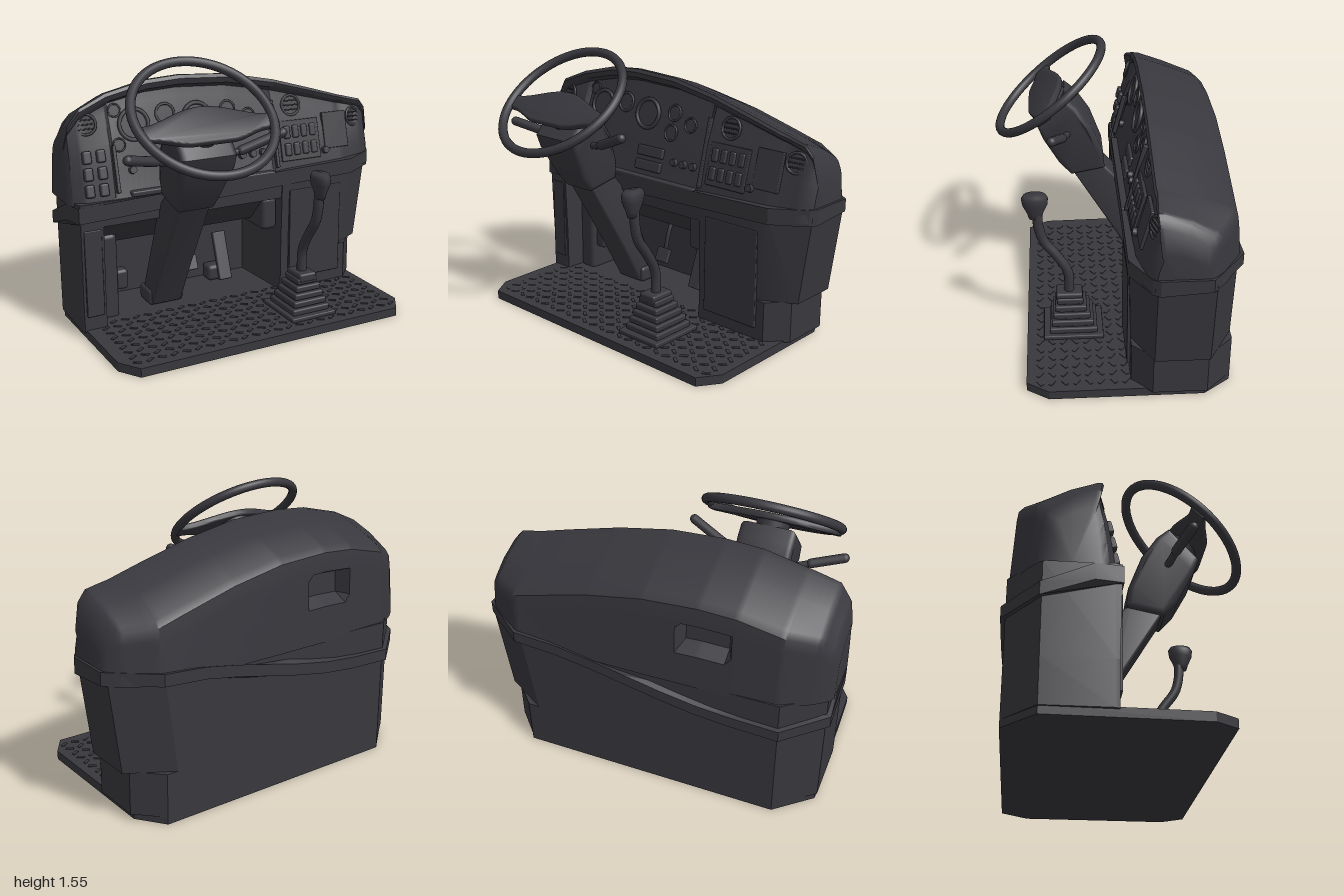
import * as THREE from 'three';
import { mergeGeometries, toCreasedNormals } from 'three/addons/utils/BufferGeometryUtils.js';
import { RoundedBoxGeometry } from 'three/addons/geometries/RoundedBoxGeometry.js';

export function createModel() {
  const root = new THREE.Group();
  root.name = 'driverConsole';
  const plastic = new THREE.MeshStandardMaterial({ color: 0x37373d });
  plastic.name = 'charcoalPlastic';

  const add = (name, geo, parent = root) => {
    const m = new THREE.Mesh(geo, plastic);
    m.name = name;
    parent.add(m);
    return m;
  };
  const box = (name, w, h, d, x, y, z, parent) => {
    const m = add(name, new RoundedBoxGeometry(w, h, d, 2, Math.min(w, h, d) * 0.25), parent);
    m.position.set(x, y, z);
    return m;
  };
  const shapeOf = pts => new THREE.Shape(pts.map(p => new THREE.Vector2(p[0], p[1])));
  const bend = (g, rule) => {
    const p = g.attributes.position, v = new THREE.Vector3();
    for (let i = 0; i < p.count; i++) {
      rule(v.fromBufferAttribute(p, i));
      p.setXYZ(i, v.x, v.y, v.z);
    }
    g.computeVertexNormals();
  };
  // outline in (x, z) raised from y0 to y1, with an optional rule for each vertex
  const plan = (name, pts, y0, y1, rule) => {
    const g = new THREE.ExtrudeGeometry(shapeOf(pts.map(p => [p[0], -p[1]])), { depth: y1 - y0, bevelEnabled: false });
    g.rotateX(-Math.PI / 2).translate(0, y0, 0);
    if (rule) bend(g, rule);
    return add(name, toCreasedNormals(g, 0.5));
  };
  // side outline in (z, y) widened along x
  const side = (name, pts, cx, w, bevel = 0, rule) => {
    const g = new THREE.ExtrudeGeometry(shapeOf(pts), { depth: w - 2 * bevel, bevelEnabled: bevel > 0, bevelSize: bevel, bevelThickness: bevel, bevelOffset: -bevel, bevelSegments: 3 });
    g.translate(0, 0, bevel - w / 2).rotateY(-Math.PI / 2);
    if (rule) bend(g, rule);
    g.translate(cx, 0, 0);
    return add(name, toCreasedNormals(g, 0.7));
  };
  const tube = (name, pts, r) =>
    add(name, new THREE.TubeGeometry(new THREE.CatmullRomCurve3(pts.map(p => new THREE.Vector3(...p))), 24, r, 12));

  // ---- floor plate with shallow tread
  plan('floorPlate', [[-0.93, 0.36], [-0.85, 0.48], [0.76, 0.48], [0.84, 0.36], [0.84, -0.47], [0.73, -0.62], [-0.75, -0.62], [-0.95, -0.45]], 0, 0.05);
  const treads = [];
  for (let i = 0; i < 24; i++) for (let j = 0; j < 9; j++) {
    const g = new THREE.BoxGeometry(0.045, 0.006, 0.018);
    treads.push(g.rotateY((i + j) % 2 ? 0.6 : -0.6).translate(-0.84 + i * 0.07, 0.051, -0.12 + j * 0.066));
  }
  add('floorTread', mergeGeometries(treads));

  // ---- lower body: U-shaped plan around the footwell, tapering on the left
  const lowerPlan = xr => [[-0.95, -0.08], [-0.82, -0.08], [-0.8, -0.52], [0.27, -0.52], [0.3, -0.08], [0.76, -0.08],
    [xr, -0.19], [xr, -0.48], [0.73, -0.62], [-0.75, -0.62], [-0.96, -0.45], [-0.96, -0.1]];
  plan('lowerBodyBase', lowerPlan(0.865), 0.04, 0.28);
  plan('lowerBody', lowerPlan(0.97), 0.28, 0.78, v => { if (v.x > 0.7) v.x -= (0.78 - v.y) * 0.13; if (v.z > -0.1) v.z += (v.y - 0.28) * 0.03; });
  side('footwellBeam', [[-0.07, 0.78], [-0.075, 0.64], [-0.13, 0.62], [-0.24, 0.5], [-0.26, 0.48], [-0.54, 0.48], [-0.54, 0.78]], -0.26, 1.12);
  box('footwellSide', 0.12, 0.52, 0.34, -0.76, 0.29, -0.36);
  box('footwellCheek', 0.1, 0.2, 0.3, 0.24, 0.54, -0.26);
  box('gloveboxDoor', 0.36, 0.56, 0.02, 0.53, 0.4, -0.071);
  box('rightPillarTrim', 0.1, 0.5, 0.02, -0.885, 0.38, -0.075);

  // ---- belt trim, dipping toward the right rear corner
  const belt = [[-0.96, -0.06], [0.28, -0.06], [0.78, -0.055], [0.97, -0.16], [0.995, -0.2], [0.995, -0.46], [0.75, -0.645]];
  for (const x of [0.5, 0.3, 0.1, -0.1, -0.3, -0.5, -0.76]) belt.push([x, -0.643]);
  belt.push([-0.985, -0.46], [-0.99, -0.2]);
  plan('beltTrim', belt, 0.71, 0.8, v => {
    const back = THREE.MathUtils.smoothstep(-v.z, 0.15, 0.6), right = 1 - THREE.MathUtils.smoothstep(v.x, -0.5, 0.7);
    const slim = v.y < 0.75 ? 0.025 * back : 0;
    v.y += slim + 0.035 * v.x - 0.15 * back * right;
  });

  // ---- upper shell: profiles at stations [x, front z, back z, height]
  const BASE = 0.76;
  const stations = [[-0.985, -0.17, -0.44, 1.08], [-0.965, -0.13, -0.47, 1.19], [-0.9, -0.09, -0.52, 1.28], [-0.74, -0.08, -0.61, 1.345],
    [-0.5, -0.08, -0.62, 1.4], [-0.3, -0.08, -0.625, 1.412], [0, -0.08, -0.63, 1.395], [0.3, -0.08, -0.63, 1.335],
    [0.6, -0.08, -0.63, 1.25], [0.75, -0.08, -0.63, 1.205], [0.91, -0.12, -0.53, 1.165], [0.955, -0.145, -0.49, 1.11], [0.98, -0.17, -0.46, 0.98]];
  const at = x => {
    let i = 0;
    while (i < stations.length - 2 && stations[i + 1][0] < x) i++;
    const a = stations[i], b = stations[i + 1], t = THREE.MathUtils.clamp((x - a[0]) / (b[0] - a[0]), 0, 1);
    return a.map((q, k) => q + (b[k] - q) * t);
  };
  // front face set-back by height fraction: eased at the narrow ends, deeper in the instrument bay
  const face = [[0, 0], [0.3, 0.035], [0.55, 0.07], [0.8, 0.125], [0.88, 0.14], [0.92, 0.11], [0.97, 0.1]];
  const ease = (zf, zb) => Math.min(1, (zf - zb) / 0.53) ** 2;
  const setback = (x, [f, s], e) => s * e + (x > -0.72 && x < 0.27 && f > 0.2 && f < 0.9 ? 0.025 : 0);
  const profile = x => {
    const [, zf, zb, H] = at(x), h = H - BASE, depth = zf - zb, e = ease(zf, zb);
    const pts = face.map(p => [zf - setback(x, p, e), BASE + p[0] * h]);
    const drop = 0.13 * Math.min(1, h / 0.45), sy = H - drop * 1.7;
    pts.push([zf - 0.112 * e, H], [zf - 0.14 * e - 0.01, H - 0.004], [zf - depth * 0.55, H - drop * 0.42], [zb + 0.06, H - drop], [zb + 0.03, H - drop * 1.25], [zb + 0.022, sy]);
    for (const f of [0.9, 0.83, 0.56, 0.46, 0]) {
      const scoop = x > -0.48 && x < -0.2 && (f === 0.83 || f === 0.56);
      pts.push([zb + 0.022 * f + (scoop ? 0.08 : 0), BASE + f * (sy - BASE)]);
    }
    return pts;
  };
  const xs = [...new Set([...stations.map(s => s[0]), ...Array.from({ length: 57 }, (_, i) => -0.95 + i * 0.0335)])].sort((a, b) => a - b);
  const rings = xs.map(x => profile(x).map(([z, y]) => [x, y, z]));
  const n = rings[0].length, pos = rings.flat(2), idx = [];
  for (let i = 0; i < xs.length - 1; i++) for (let j = 0; j < n - 1; j++) {
    const a = i * n + j, b = a + n;
    idx.push(a, b, b + 1, a, b + 1, a + 1);
  }
  // end caps fan out from the middle of the base edge
  [0, xs.length - 1].forEach((s, e) => {
    const c = pos.length / 3;
    pos.push(xs[s], BASE, -0.31);
    for (let j = 0; j < n - 1; j++) idx.push(c, s * n + j + e, s * n + j + 1 - e);
  });
  const shell = new THREE.BufferGeometry();
  shell.setAttribute('position', new THREE.Float32BufferAttribute(pos, 3));
  shell.setIndex(idx);
  add('upperShell', toCreasedNormals(shell, 0.6));

  // ---- instrument face: each fitting sits on the sloping panel
  const mount = (name, x, y) => {
    const g = new THREE.Group(), [, zf, zb, H] = at(x), f = (y - BASE) / (H - BASE), e = ease(zf, zb);
    let i = 0;
    while (i < 4 && face[i + 1][0] < f) i++;
    const [a, b] = [face[i], face[i + 1]];
    g.position.set(x, y, zf - THREE.MathUtils.lerp(setback(x, a, e), setback(x, b, e), (f - a[0]) / (b[0] - a[0])));
    g.rotation.x = -0.25;
    g.name = name;
    root.add(g);
    return g;
  };
  const dial = (name, x, y, r, bars) => {
    const g = mount(name, x, y);
    add('bezel', new THREE.TorusGeometry(r, r * 0.14, 8, 28), g).position.z = 0.006;
    add('dialFace', new THREE.CylinderGeometry(r, r, 0.01, 28).rotateX(Math.PI / 2), g);
    for (let i = 0; i < bars; i++) box('vane', r * 1.5, 0.008, 0.02, 0, (i - (bars - 1) / 2) * r * 0.45, 0.008, g);
    return g;
  };
  dial('rightVent', -0.86, 1.19, 0.055, 3).rotation.y = -0.3;
  dial('centreVent', 0.42, 1.17, 0.06, 3);
  dial('leftVent', 0.86, 1.06, 0.055, 3).rotation.y = 0.3;
  [[-0.58, 1.16, 0.085], [-0.2, 1.16, 0.085], [-0.39, 1.2, 0.055], [-0.68, 1.24, 0.035], [-0.68, 1.06, 0.035], [0.0, 1.19, 0.045], [0.0, 1.08, 0.045], [0.13, 1.14, 0.04]]
    .forEach(([x, y, r]) => dial('gauge', x, y, r, 0));
  const plate = (name, w, h, d, x, y) => box(name, w, h, d, 0, 0, 0, mount(name, x, y));
  for (const x of [-0.88, -0.8]) for (const y of [0.84, 0.93, 1.02]) plate('rightSwitch', 0.05, 0.07, 0.045, x, y);
  for (const x of [0.36, 0.42, 0.48, 0.54]) for (const y of [0.92, 1.02]) plate('leftSwitch', 0.042, 0.075, 0.045, x, y);
  plate('switchPanel', 0.27, 0.24, 0.02, 0.45, 0.97);
  plate('leftPanel', 0.17, 0.22, 0.02, 0.71, 1.0);
  plate('panelRib', 0.02, 0.4, 0.03, 0.28, 1.02);
  plate('binnacleRib', 0.02, 0.26, 0.03, -0.72, 0.94);
  for (const y of [0.87, 0.95]) plate('radio', 0.2, 0.06, 0.035, -0.13, y);
  for (const [x, y] of [[0.62, 0.89], [0.06, 0.92], [0.13, 0.92], [0.2, 0.92], [-0.62, 0.92]])
    add('knob', new THREE.CylinderGeometry(0.02, 0.026, 0.05, 14).rotateX(Math.PI / 2), mount('controlKnob', x, y));
  box('dashLedge', 0.9, 0.03, 0.05, -0.2, 0.8, -0.085);

  // ---- steering column
  const CX = -0.395;
  side('columnShroud', [[0.23, 1.26], [0.39, 1.08], [0.36, 1.0], [0.27, 0.83], [0.2, 0.75], [0.0, 0.79], [0.01, 0.9], [0.08, 1.08], [0.16, 1.2]], CX, 0.28, 0.03,
    v => { v.x *= 0.85 + 0.3 * THREE.MathUtils.smoothstep(v.y, 0.8, 1.02); });
  side('lowerColumn', [[0.2, 0.78], [0.02, 0.82], [-0.1, 0.69], [-0.38, 0.06], [-0.22, 0.06], [-0.07, 0.33]], CX, 0.19, 0.015);
  box('columnFoot', 0.22, 0.1, 0.16, CX, 0.1, -0.3);

  // ---- stalks: thin root and thicker capsule grip
  for (const [s, lift, reach] of [[-1, 0.05, 0.42], [1, 0.095, 0.465]]) {
    const a = new THREE.Vector3(CX + s * 0.25, 1.06, 0.25), b = new THREE.Vector3(CX + s * reach, 1.05 + lift, 0.31);
    tube('stalk', [[CX + s * 0.1, 1.03, 0.21], [CX + s * 0.18, 1.04, 0.23], a.toArray()], 0.02);
    const grip = add('stalkGrip', new THREE.CapsuleGeometry(0.027, a.distanceTo(b), 6, 14));
    grip.position.lerpVectors(a, b, 0.5);
    grip.quaternion.setFromUnitVectors(new THREE.Vector3(0, 1, 0), b.sub(a).normalize());
  }

  // ---- steering wheel
  const wheel = new THREE.Group();
  wheel.name = 'steeringWheel';
  wheel.position.set(CX, 1.283, 0.313);
  wheel.rotation.x = -0.9;
  root.add(wheel);
  add('rim', new THREE.TorusGeometry(0.382, 0.026, 14, 64), wheel);
  const spoke = new THREE.Shape();
  spoke.moveTo(-0.375, -0.03);
  spoke.bezierCurveTo(-0.25, -0.04, -0.15, 0.06, 0, 0.06);
  spoke.bezierCurveTo(0.15, 0.06, 0.25, -0.04, 0.375, -0.03);
  spoke.lineTo(0.365, -0.1);
  spoke.bezierCurveTo(0.25, -0.1, 0.2, -0.15, 0.12, -0.155);
  spoke.lineTo(-0.12, -0.155);
  spoke.bezierCurveTo(-0.2, -0.15, -0.25, -0.1, -0.365, -0.1);
  const sg = new THREE.ExtrudeGeometry(spoke, { depth: 0.015, bevelSize: 0.01, bevelThickness: 0.012, bevelSegments: 3, curveSegments: 12 });
  add('spokes', toCreasedNormals(sg, 0.7), wheel).position.z = -0.025;
  add('hub', new THREE.CylinderGeometry(0.1, 0.075, 0.14, 20).rotateX(Math.PI / 2), wheel).position.set(0, -0.04, -0.09);

  // ---- gear lever with bellows
  const GX = 0.255, GZ = 0.215;
  box('bootBase', 0.29, 0.025, 0.34, GX, 0.062, GZ);
  for (let i = 0; i < 5; i++) {
    const w = 0.24 - i * 0.027;
    box('bellow', w, 0.036, w * 1.13, GX, 0.09 + i * 0.041, GZ + i * 0.004);
    box('bellowCore', w - 0.04, 0.045, w - 0.03, GX, 0.108 + i * 0.041, GZ + i * 0.004);
  }
  box('bootCollar', 0.11, 0.05, 0.15, GX, 0.275, 0.235);
  tube('gearLever', [[GX, 0.27, 0.235], [GX, 0.42, 0.24], [GX, 0.53, 0.3], [GX, 0.63, 0.37], [GX, 0.72, 0.395], [GX, 0.82, 0.4]], 0.028);
  const knob = [[0, 0.77], [0.035, 0.775], [0.045, 0.81], [0.068, 0.86], [0.073, 0.9], [0.06, 0.92], [0, 0.924]];
  const gk = add('gearKnob', new THREE.LatheGeometry(knob.map(p => new THREE.Vector2(...p)), 24));
  gk.scale.x = 0.68;
  gk.position.set(GX, 0, 0.41);

  // ---- pedals
  box('brakePad', 0.1, 0.09, 0.025, -0.2, 0.235, -0.32).rotation.x = -0.4;
  tube('brakeArm', [[-0.2, 0.25, -0.34], [-0.19, 0.38, -0.36], [-0.19, 0.5, -0.42]], 0.013);
  box('accelerator', 0.085, 0.3, 0.03, 0.05, 0.22, -0.38).rotation.x = -0.35;
  box('pedalBracket', 0.16, 0.1, 0.1, 0.05, 0.1, -0.45);
  box('footRest', 0.08, 0.12, 0.08, -0.67, 0.25, -0.26);
  return root;
}
